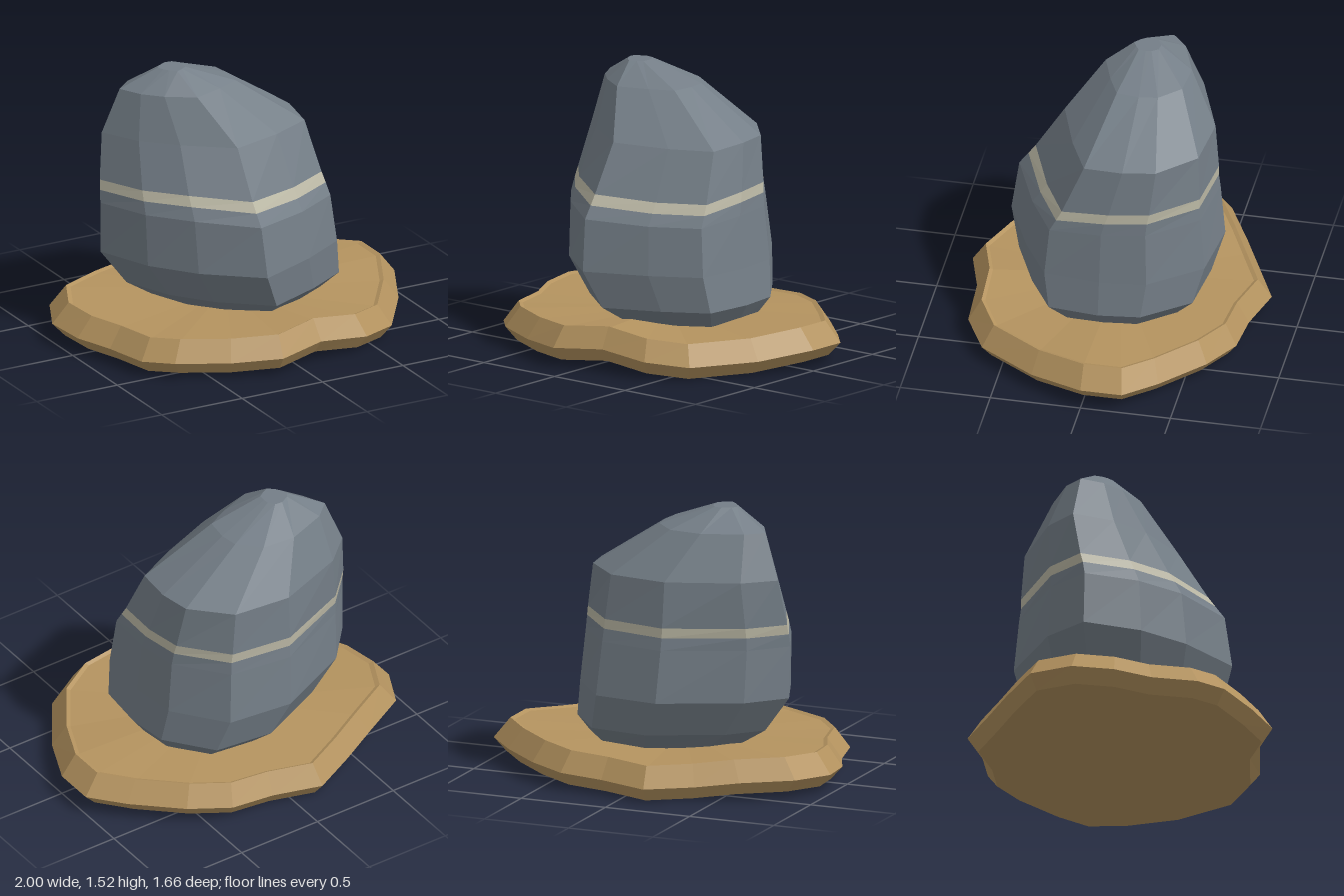
import * as THREE from 'three';

// Skin a stack of counter-clockwise rings (arrays of [x, y, z]) into faceted walls, with optional end caps.
function skin(rings, capBottom, capTop) {
  const pos = [];
  const n = rings[0].length;
  const tri = (a, b, c) => pos.push(...a, ...b, ...c);
  for (let r = 0; r < rings.length - 1; r++) {
    for (let i = 0; i < n; i++) {
      const j = (i + 1) % n;
      const lo = rings[r], hi = rings[r + 1];
      tri(lo[i], lo[j], hi[j]);
      tri(lo[i], hi[j], hi[i]);
    }
  }
  const cap = (ring, up) => {
    const c = [0, 1, 2].map(k => ring.reduce((s, p) => s + p[k], 0) / n);
    for (let i = 0; i < n; i++) {
      const a = ring[i], b = ring[(i + 1) % n];
      up ? tri(a, b, c) : tri(b, a, c);
    }
  };
  if (capBottom) cap(rings[0], false);
  if (capTop) cap(rings[rings.length - 1], true);
  const g = new THREE.BufferGeometry();
  g.setAttribute('position', new THREE.Float32BufferAttribute(pos, 3));
  g.computeVertexNormals();
  return g;
}

function part(name, geometry, color) {
  const mesh = new THREE.Mesh(geometry, new THREE.MeshStandardMaterial({ color, flatShading: true }));
  mesh.name = name;
  return mesh;
}

// Rim of the sandy base: x, z and the wave in its height
const RIM = [
  [-0.15, -0.83, -0.02], [-0.4, -0.71, -0.01], [-0.62, -0.6, 0.01], [-0.89, -0.46, 0.02],
  [-1, -0.23, 0.01], [-0.97, 0, 0], [-0.88, 0.2, -0.01], [-0.82, 0.45, -0.01],
  [-0.69, 0.59, 0], [-0.42, 0.73, 0], [-0.15, 0.83, 0.01], [0.13, 0.75, 0.03],
  [0.42, 0.74, 0], [0.64, 0.62, -0.02], [0.86, 0.3, -0.01], [1, 0, 0.02],
  [1, -0.23, 0.02], [0.84, -0.4, 0.01], [0.6, -0.62, 0.01], [0.38, -0.74, 0], [0.13, -0.76, -0.01],
];

// Outline of the rock, normalised to -1..1: x, z and the tilt of the stripe
const ROCK = [
  [-1, -0.32, 0], [-0.8, 0.2, 0.005], [-0.5, 0.6, 0.01], [-0.02, 1, -0.01],
  [0.53, 0.75, -0.03], [0.95, 0.49, -0.03], [1, -0.03, 0], [0.95, -0.46, 0.01],
  [0.6, -0.93, 0.01], [0, -1, 0], [-0.71, -0.66, 0],
];

// Rock sections: y, xMin, xMax, zMin, zMax, share of stripe tilt
const SECTIONS = [
  [0.19, -0.4, 0.45, -0.4, 0.38, 0],
  [0.3, -0.58, 0.53, -0.52, 0.55, 0],
  [0.5, -0.73, 0.505, -0.58, 0.61, 0],
  [0.79, -0.735, 0.475, -0.55, 0.57, 0.8],
  [0.86, -0.73, 0.465, -0.54, 0.52, 1],
  [0.915, -0.725, 0.455, -0.54, 0.48, 1],
  [1.17, -0.69, 0.41, -0.52, 0.32, 0.5],
  [1.42, -0.6, 0.03, -0.36, 0.12, 0],
  [1.53, -0.4, -0.26, -0.18, -0.03, 0],
];

export function createModel() {
  const model = new THREE.Group();
  model.name = 'rockOnSand';

  // Sandy base: underside, widest rim, upper edge and inner lip
  const baseRing = (scale, y) => RIM.map(([x, z, dy]) => [x * scale, y + dy, z * scale]);
  const base = skin([baseRing(0.93, 0.025), baseRing(1, 0.1), baseRing(0.91, 0.215), baseRing(0.885, 0.205)], true, true);
  model.add(part('sandBase', base, 0xb4935f));

  // Leaning boulder, split around its pale mineral stripe
  const rings = SECTIONS.map(([y, x0, x1, z0, z1, tilt]) =>
    ROCK.map(([x, z, dy]) => [
      (x0 + x1 + x * (x1 - x0)) / 2,
      y + dy * tilt,
      (z0 + z1 + z * (z1 - z0)) / 2,
    ]));
  model.add(part('lowerRock', skin(rings.slice(0, 5), true, false), 0x747e87));
  model.add(part('mineralStripe', skin(rings.slice(4, 6), false, false), 0xbab7a4));
  model.add(part('upperRock', skin(rings.slice(5), false, true), 0x747e87));
  return model;
}
